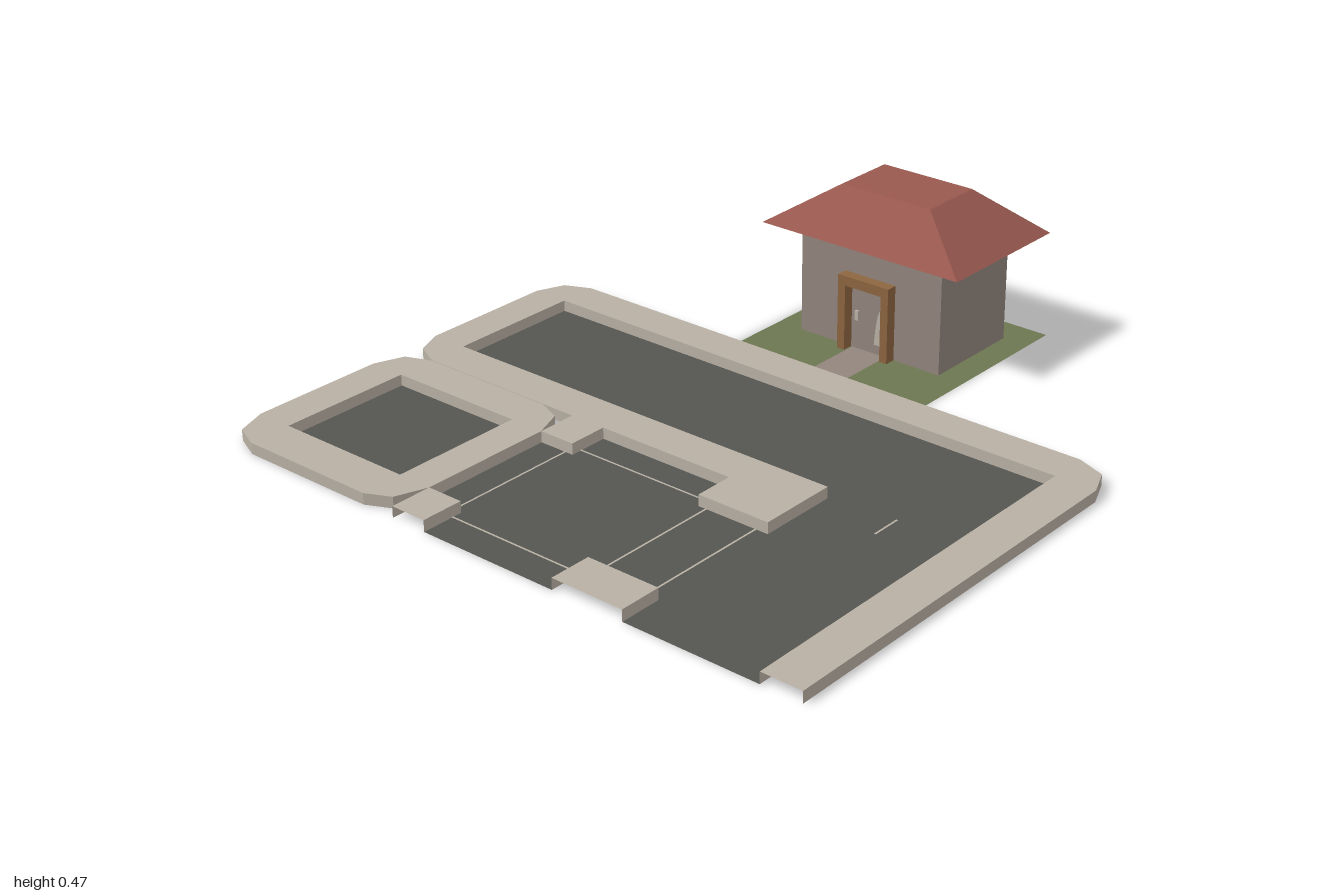
import * as THREE from 'three';

const mat = (name, color) => {
  const m = new THREE.MeshStandardMaterial({ color, side: THREE.DoubleSide });
  m.name = name;
  return m;
};

export function createModel() {
  const pavement = mat('pavement stone', 0xb8b0a4);
  const asphalt = mat('asphalt', 0x555650);
  const grass = mat('grass', 0x6d7651);
  const plaster = mat('plaster', 0x92857d);
  const tile = mat('roof tile', 0x99594f);
  const wood = mat('wood', 0x8d6540);

  const model = new THREE.Group();
  const add = (parent, name, geometry, material, x = 0, y = 0, z = 0) => {
    const mesh = new THREE.Mesh(geometry, material);
    mesh.name = name;
    mesh.position.set(x, y, z);
    parent.add(mesh);
    return mesh;
  };
  const group = (name) => {
    const g = new THREE.Group();
    g.name = name;
    model.add(g);
    return g;
  };

  // Flat upward-facing surface from [x, z] outlines
  const flat = (outline, hole) => {
    const toPoints = (pts) => pts.map(([x, z]) => new THREE.Vector2(x, -z));
    const shape = new THREE.Shape(toPoints(outline));
    if (hole) shape.holes.push(new THREE.Path(toPoints(hole)));
    return new THREE.ShapeGeometry(shape).rotateX(-Math.PI / 2);
  };
  const rect = (x0, x1, z0, z1) => [[x0, z0], [x0, z1], [x1, z1], [x1, z0]];

  // Flat-shaded faces from quads of corner points
  const quads = (list) => {
    const p = [];
    for (const [a, b, c, d] of list) p.push(...a, ...b, ...c, ...a, ...c, ...d);
    const g = new THREE.BufferGeometry();
    g.setAttribute('position', new THREE.Float32BufferAttribute(p, 3));
    g.computeVertexNormals();
    return g;
  };
  // Vertical walls round an outline; edges on the line z = openZ stay open
  const walls = (pts, h, openZ = null) => {
    const list = [];
    pts.forEach(([x, z], i) => {
      const [u, w] = pts[(i + 1) % pts.length];
      if (z === openZ && w === openZ) return;
      list.push([[x, 0, z], [u, 0, w], [u, h, w], [x, h, z]]);
    });
    return quads(list);
  };

  // Raised pavements: hollow shells with a top and curb sides
  const H = 0.034;
  const streets = group('streets');
  const addPavement = (name, outline, hole, openZ) => {
    add(streets, name + 'Top', flat(outline, hole), pavement, 0, H, 0);
    add(streets, name + 'Curb', walls(outline, H, openZ), pavement);
    if (hole) add(streets, name + 'InnerCurb', walls(hole, H), pavement);
  };
  addPavement('mainPavement', [
    [-0.885, -0.335], [0.875, -0.335], [0.965, -0.3], [1, -0.215], [1, 1],
    [0.875, 1], [0.875, -0.215], [-0.885, -0.215], [-0.885, 0.21], [0.455, 0.21],
    [0.455, 0.455], [0.225, 0.455], [0.225, 0.333], [-0.22, 0.333], [-0.22, 0.455],
    [-0.335, 0.455], [-0.335, 0.333], [-0.885, 0.333], [-0.965, 0.295], [-1, 0.21],
    [-1, -0.215], [-0.965, -0.3],
  ], null, 1);

  const yard = rect(-0.885, -0.445, 0.455, 0.87);
  addPavement('blockPavement', [
    [-0.885, 0.335], [-0.445, 0.335], [-0.37, 0.365], [-0.335, 0.455],
    [-0.335, 0.87], [-0.37, 0.965], [-0.445, 1], [-0.885, 1],
    [-0.965, 0.965], [-1, 0.87], [-1, 0.455], [-0.965, 0.365],
  ], yard);
  addPavement('leftCorner', rect(-0.335, -0.22, 0.87, 1), null, 1);
  addPavement('rightCorner', rect(0.225, 0.455, 0.87, 1), null, 1);

  // Road surface
  add(streets, 'yardAsphalt', flat(yard), asphalt);
  add(streets, 'road', flat([
    [-0.885, -0.215], [0.875, -0.215], [0.875, 1], [0.455, 1], [0.455, 0.87],
    [0.225, 0.87], [0.225, 1], [-0.22, 1], [-0.22, 0.87], [-0.335, 0.87],
    [-0.335, 0.455], [-0.22, 0.455], [-0.22, 0.333], [0.225, 0.333],
    [0.225, 0.455], [0.455, 0.455], [0.455, 0.21], [-0.885, 0.21],
  ]), asphalt);

  // Thin road markings
  const w = 0.003;
  for (const x of [-0.245, 0.252, 0.417])
    add(streets, 'roadLine', flat(rect(x - w, x + w, 0.455, 0.87)), pavement, 0, 0.002, 0);
  for (const z of [0.423, 0.902])
    add(streets, 'stopLine', flat(rect(-0.22, 0.225, z - w, z + w)), pavement, 0, 0.002, 0);
  add(streets, 'laneMark', flat(rect(0.661, 0.667, 0.19, 0.285)), pavement, 0, 0.002, 0);

  // Lawn around the open house footprint, with the path to the door
  const garden = group('garden');
  add(garden, 'lawn', flat([
    [-0.06, -0.335], [-0.335, -0.335], [-0.335, -1], [0.335, -1], [0.335, -0.335],
    [0.06, -0.335], [0.06, -0.57], [0.25, -0.57], [0.25, -0.9], [-0.25, -0.9],
    [-0.25, -0.57], [-0.06, -0.57],
  ]), grass);
  add(garden, 'path', flat(rect(-0.06, 0.06, -0.57, -0.335)), plaster);

  // House walls, front wall with a doorway
  const house = group('house');
  const front = -0.57, top = 0.34;
  add(house, 'walls', walls(
    [[-0.25, front], [0.25, front], [0.25, -0.9], [-0.25, -0.9]], top, front), plaster);
  const xy = (pts) => new THREE.Shape(pts.map(([x, y]) => new THREE.Vector2(x, y)));
  add(house, 'frontWall', new THREE.ShapeGeometry(xy([
    [-0.25, 0], [-0.064, 0], [-0.064, 0.205], [0.064, 0.205], [0.064, 0],
    [0.25, 0], [0.25, top], [-0.25, top],
  ])), plaster, 0, 0, front);

  // Door, frame and fittings
  add(house, 'door', new THREE.PlaneGeometry(0.128, 0.205), plaster, 0, 0.1025, front);
  for (const s of [-1, 1])
    add(house, 'doorPost', new THREE.BoxGeometry(0.026, 0.235, 0.035), wood, s * 0.077, 0.1175, -0.5525);
  add(house, 'doorLintel', new THREE.BoxGeometry(0.128, 0.03, 0.035), wood, 0, 0.22, -0.5525);
  add(house, 'doorHandle', new THREE.BoxGeometry(0.012, 0.03, 0.008), pavement, -0.041, 0.107, -0.565);
  add(house, 'doorPanel', new THREE.ShapeGeometry(xy([
    [0.02, 0.03], [0.06, 0.03], [0.06, 0.17], [0.047, 0.16], [0.032, 0.125], [0.025, 0.085],
  ])), pavement, 0, 0, front + 0.003);

  // Hipped roof with a flat crown and closed eaves
  const eave = [[-0.347, top, -0.503], [0.347, top, -0.503], [0.347, top, -0.97], [-0.347, top, -0.97]];
  const crown = [[-0.157, 0.468, -0.633], [0.157, 0.468, -0.633], [0.157, 0.468, -0.84], [-0.157, 0.468, -0.84]];
  const slopes = eave.map((p, i) => [p, eave[(i + 1) % 4], crown[(i + 1) % 4], crown[i]]);
  add(house, 'roof', quads([...slopes, crown, [...eave].reverse()]), tile);

  return model;
}
